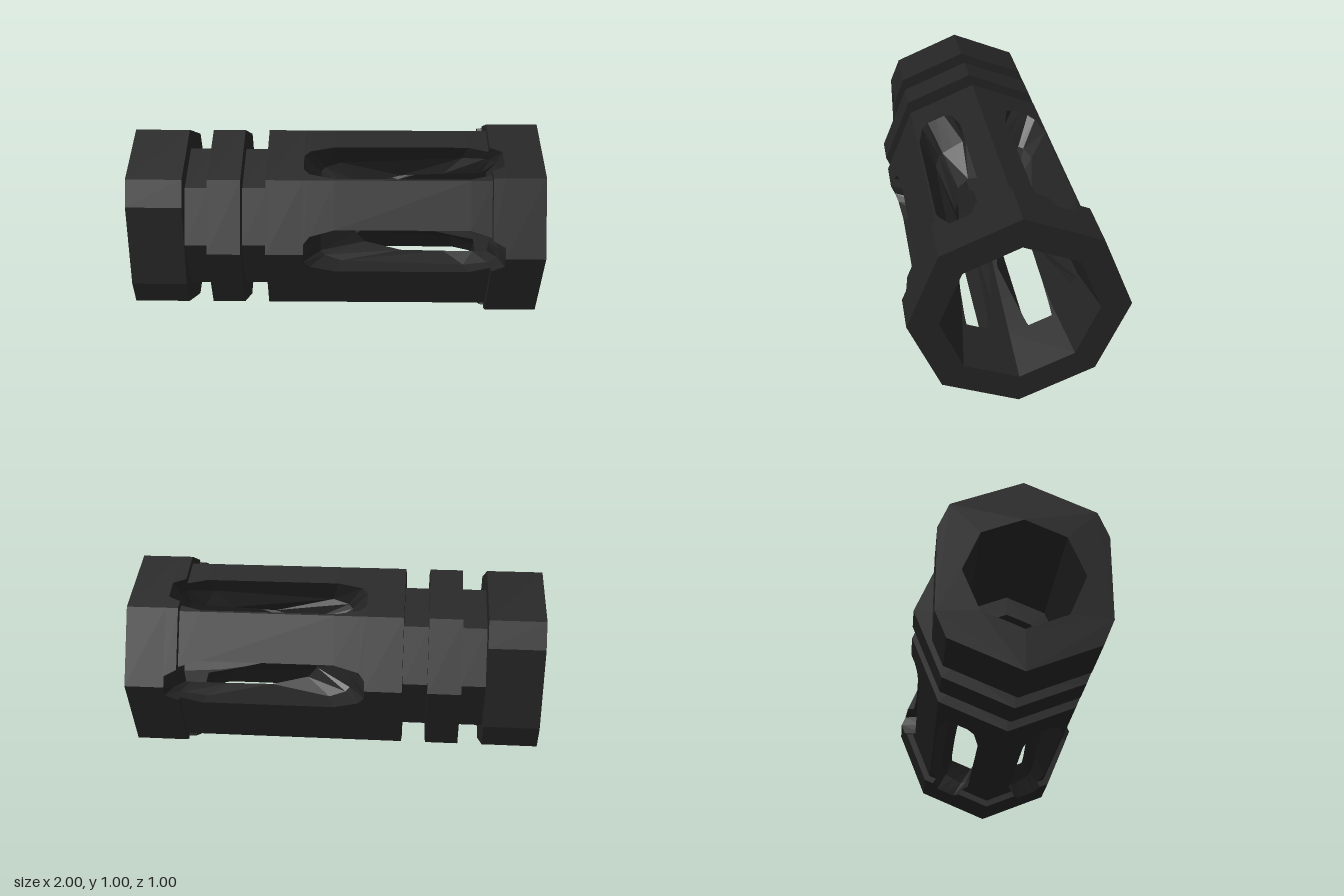
import * as THREE from 'three';

const RAD = Math.PI / 180;
const BODY = 0.465, COLLAR = 0.5, THROAT = 0.172, BORE = 0.27;

// Corner radius of the flared octagonal bore at x
const flare = (x) => THROAT + (0.36 - THROAT) * (x + 0.05) / 1.05;

// Slot edge stations, rear to front: [x, half width, depth or corner radius]
const outerEdge = [
  [-0.15, 0.045, BODY], [-0.12, 0.08, BODY], [0, 0.11, BODY], [0.65, 0.11, BODY],
  [0.75, 0.08, BODY], [0.75, 0.08, COLLAR], [0.81, 0.05, COLLAR],
];
const middleEdge = [
  [-0.07, 0.06, 0.29], [-0.05, 0.08, 0.30], [0.03, 0.11, 0.30], [0.63, 0.11, 0.34],
  [0.74, 0.08, 0.37], [0.76, 0.075, 0.37], [0.79, 0.05, 0.38],
];
const innerEdge = [
  [0.1, 0], [0.15, 0.06], [0.33, 0.1], [0.54, 0.082], [0.68, 0.068], [0.73, 0.063], [0.75, 0.06],
].map(([x, h]) => [x, h, flare(x)]);

// Distance along a radial direction (offset sideways by h) to an octagon of corner radius R
function hit(angle, h, R) {
  let best = Infinity;
  for (let i = 0; i < 8; i++) {
    const a = (22.5 + 45 * i - angle) * RAD;
    if (Math.cos(a) > 0.1) {
      best = Math.min(best, (R * Math.cos(22.5 * RAD) - h * Math.sin(a)) / Math.cos(a));
    }
  }
  return best;
}

// Point at x, d out along a radial direction and h to its side
function place(angle, x, h, d) {
  const s = Math.sin(angle * RAD), c = Math.cos(angle * RAD);
  return [x, d * s + h * c, d * c - h * s];
}

function quad(out, a, b, c, d) {
  out.push(...a, ...b, ...c, ...a, ...c, ...d);
}

function facets(positions) {
  const g = new THREE.BufferGeometry();
  g.setAttribute('position', new THREE.Float32BufferAttribute(positions, 3));
  g.computeVertexNormals();
  return g;
}

function flat(geometry) {
  const g = geometry.index ? geometry.toNonIndexed() : geometry;
  g.computeVertexNormals();
  return g;
}

// Eight-sided turned surface along x from [x, radius] points
function turned(points) {
  const g = new THREE.LatheGeometry(points.map(([x, r]) => new THREE.Vector2(r, x)), 8);
  g.rotateZ(-Math.PI / 2);
  return flat(g);
}

// Bars of the cage between neighbouring slots
function cageSkin(edge, inward) {
  const out = [];
  [45, 90, 135, 225, 270, 315].forEach((corner, k) => {
    const a0 = 60 * k, a1 = a0 + 60;
    const rows = edge.map(([x, h, R]) => {
      const d0 = hit(a0, h, R), d1 = hit(a1, -h, R);
      const lo = a0 + Math.atan2(h, d0) / RAD, hi = a1 - Math.atan2(h, d1) / RAD;
      const mid = Math.min(Math.max(corner, lo), hi);
      return [place(a0, x, h, d0), place(mid, x, 0, hit(mid, 0, R)), place(a1, x, -h, d1)];
    });
    for (let i = 0; i + 1 < rows.length; i++) {
      for (let j = 0; j < 2; j++) {
        const a = rows[i][j], b = rows[i + 1][j], c = rows[i + 1][j + 1], d = rows[i][j + 1];
        if (inward) quad(out, a, d, c, b);
        else quad(out, a, b, c, d);
      }
    }
  });
  return facets(out);
}

// Closed loop round one slot at one depth
function slotLoop(angle, edge, onSurface) {
  const point = ([x, h, r], side) =>
    place(angle, x, h * side, onSurface ? hit(angle, h * side, r) : r);
  const front = edge[edge.length - 1];
  return [
    ...edge.map((e) => point(e, -1)), point([front[0], 0, front[2]], 1),
    ...edge.slice().reverse().map((e) => point(e, 1)), point([edge[0][0], 0, edge[0][2]], 1),
  ];
}

function slotWalls(angle) {
  const out = [];
  const loops = [
    slotLoop(angle, outerEdge, true),
    slotLoop(angle, middleEdge, false),
    slotLoop(angle, innerEdge, true),
  ];
  for (let l = 0; l < 2; l++) {
    const p = loops[l], q = loops[l + 1];
    p.forEach((_, i) => {
      const n = (i + 1) % p.length;
      quad(out, p[i], p[n], q[n], q[i]);
    });
  }
  return facets(out);
}

// Rear octagon with wrench flats on both sides and a round-through bore
function wrenchSection() {
  const c = BODY * Math.SQRT1_2, z = 0.38;
  const y = c * (BODY - z) / (BODY - c);
  const shape = new THREE.Shape([
    [z, -y], [z, y], [c, c], [0, BODY], [-c, c], [-z, y], [-z, -y], [-c, -c], [0, -BODY], [c, -c],
  ].map(([u, v]) => new THREE.Vector2(u, v)));
  const hole = [];
  for (let i = 0; i < 8; i++) {
    hole.push(new THREE.Vector2(BORE * Math.cos(-i * 45 * RAD), BORE * Math.sin(-i * 45 * RAD)));
  }
  shape.holes.push(new THREE.Path(hole));
  const g = new THREE.ExtrudeGeometry(shape, { depth: 0.27, bevelEnabled: false });
  g.rotateY(Math.PI / 2);
  g.translate(-1, 0, 0);
  return flat(g);
}

export function createModel() {
  const group = new THREE.Group();
  group.name = 'slottedMuzzleDevice';
  const steel = new THREE.MeshStandardMaterial({ color: 0x242424 });
  steel.name = 'blackened steel';

  const add = (name, geometry) => {
    const mesh = new THREE.Mesh(geometry, steel);
    mesh.name = name;
    mesh.position.y = 0.5;
    group.add(mesh);
  };

  add('wrenchSection', wrenchSection());
  add('groovedNeck', turned([
    [-0.73, 0.365], [-0.61, 0.365], [-0.61, BODY], [-0.45, BODY],
    [-0.45, 0.365], [-0.33, 0.365], [-0.33, BODY], [-0.15, BODY],
  ]));
  add('rearBore', turned([
    [0.1, flare(0.1)], [-0.05, THROAT], [-0.3, THROAT], [-0.3, BORE], [-0.73, BORE],
  ]));
  add('cageOutside', cageSkin(outerEdge, false));
  add('cageInside', cageSkin(innerEdge, true));
  for (let k = 0; k < 6; k++) add('slotWalls' + (k + 1), slotWalls(60 * k));
  add('frontCollar', turned([
    [0.81, COLLAR], [1, COLLAR], [1, 0.36], [0.75, flare(0.75)],
  ]));
  return group;
}
